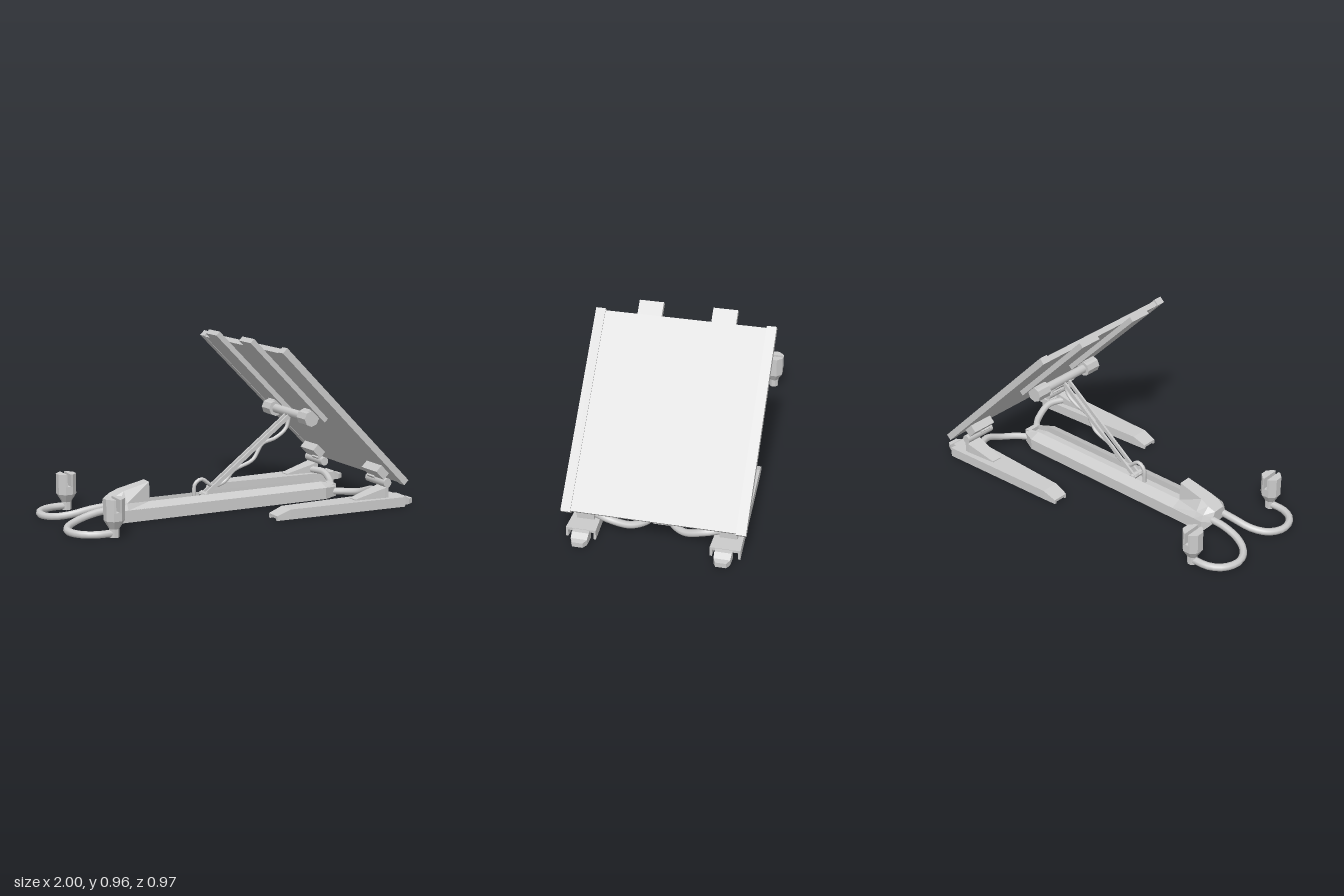
import * as THREE from 'three';

const flat = new THREE.MeshStandardMaterial({ color: 0xcccccc, flatShading: true });
const smooth = new THREE.MeshStandardMaterial({ color: 0xcccccc });

function add(parent, name, geometry, x = 0, y = 0, z = 0, material = flat) {
  const mesh = new THREE.Mesh(geometry, material);
  mesh.name = name;
  mesh.position.set(x, y, z);
  parent.add(mesh);
  return mesh;
}

const box = (x0, x1, y0, y1, z0, z1) =>
  new THREE.BoxGeometry(x1 - x0, y1 - y0, z1 - z0).translate((x0 + x1) / 2, (y0 + y1) / 2, (z0 + z1) / 2);

const rod = (r, length, sides = 12) => new THREE.CylinderGeometry(r, r, length, sides).rotateX(Math.PI / 2);

function tube(points, r, segments = 24) {
  const curve = new THREE.CatmullRomCurve3(points.map(p => new THREE.Vector3(...p)));
  return new THREE.TubeGeometry(curve, segments, r, 8);
}

// Skin over closed (z, y) loops placed at rising x, with both ends capped
function loft(stations) {
  const out = [];
  const put = (s, i) => {
    const [z, y] = s.loop[i];
    out.push(s.x, y, z);
  };
  const n = stations[0].loop.length;
  for (let k = 0; k < stations.length - 1; k++) {
    const p = stations[k], q = stations[k + 1];
    for (let i = 0; i < n; i++) {
      const j = (i + 1) % n;
      put(p, i); put(q, i); put(q, j);
      put(p, i); put(q, j); put(p, j);
    }
  }
  const first = stations[0], last = stations[stations.length - 1];
  for (const s of [first, last]) {
    const contour = s.loop.map(p => new THREE.Vector2(...p));
    for (const face of THREE.ShapeUtils.triangulateShape(contour, [])) {
      (s === first ? face : [...face].reverse()).forEach(i => put(s, i));
    }
  }
  const g = new THREE.BufferGeometry();
  g.setAttribute('position', new THREE.Float32BufferAttribute(out, 3));
  g.computeVertexNormals();
  return g;
}

// Beam section: hollow below, trough along the top
const beamLoop = (b, sh, top, t) => [
  [-b, 0], [-b + 0.015, 0], [-b + 0.015, sh - 0.025], [b - 0.015, sh - 0.025], [b - 0.015, 0], [b, 0],
  [b, sh], [t, top], [t, sh - 0.01], [-t, sh - 0.01], [-t, top], [-b, sh]];

// Nose section: shoulders rising to a narrow ridge
const noseLoop = (b, floor, sh, m, my, t, top) => [
  [-b, floor], [b, floor], [b, sh], [m, my], [t, top], [-t, top], [-m, my], [-b, sh]];

// Foot section: inverted channel
const footLoop = (b, top) => [
  [-b, 0], [-b + 0.012, 0], [-b + 0.012, top - 0.015], [b - 0.012, top - 0.015],
  [b - 0.012, 0], [b, 0], [b, top], [-b, top]];

const blockLoop = (b, y0, y1) => [[-b, y0], [b, y0], [b, y1], [-b, y1]];

function createBase() {
  const base = new THREE.Group();
  base.name = 'base';
  add(base, 'beam', loft([
    { x: -0.64, loop: beamLoop(0.1, 0.065, 0.09, 0.04) },
    { x: 0.62, loop: beamLoop(0.1, 0.065, 0.09, 0.04) },
    { x: 0.71, loop: beamLoop(0.055, 0.055, 0.07, 0.03) },
  ]));
  add(base, 'beamEnd', box(0.69, 0.72, 0, 0.07, -0.045, 0.045));
  add(base, 'nose', loft([
    { x: -0.69, loop: noseLoop(0.06, 0.045, 0.06, 0.05, 0.085, 0.035, 0.115) },
    { x: -0.65, loop: noseLoop(0.1, 0, 0.065, 0.085, 0.1, 0.045, 0.138) },
    { x: -0.6, loop: noseLoop(0.1, 0, 0.066, 0.08, 0.1, 0.04, 0.16) },
    { x: -0.599, loop: noseLoop(0.1, 0.05, 0.066, 0.08, 0.1, 0.04, 0.16) },
    { x: -0.45, loop: noseLoop(0.098, 0.05, 0.066, 0.042, 0.09, 0.035, 0.195) },
  ]));
  return base;
}

// Plug: tapered eight-sided body, its top split by a slot
function createPlug() {
  const plug = new THREE.Group();
  plug.name = 'plug';
  const body = new THREE.LatheGeometry([[0, 0], [0.027, 0], [0.027, 0.045], [0.055, 0.09], [0.055, 0.135], [0, 0.135]]
    .map(p => new THREE.Vector2(...p)), 8, Math.PI / 8);
  add(plug, 'plugBody', body);
  for (const side of [-1, 1]) {
    const half = new THREE.Shape([[0.01, -0.053], [0.022, -0.051], [0.051, -0.021],
      [0.051, 0.021], [0.022, 0.051], [0.01, 0.053]].map(p => new THREE.Vector2(...p)));
    const g = new THREE.ExtrudeGeometry(half, { depth: 0.07, bevelEnabled: false });
    g.rotateX(-Math.PI / 2).rotateY(side < 0 ? Math.PI : 0);
    add(plug, 'plugJaw', g, 0, 0.133, 0);
  }
  return plug;
}

// Foot with its hinge bracket; s is the side along z
function createFoot(s) {
  const foot = new THREE.Group();
  foot.name = 'foot';
  const zc = s * 0.38;
  add(foot, 'footRail', loft([
    { x: 0.12, loop: footLoop(0.045, 0.025) },
    { x: 0.2, loop: footLoop(0.05, 0.055) },
    { x: 0.915, loop: footLoop(0.08, 0.055) },
  ]), 0, 0, zc);
  add(foot, 'heel', loft([
    { x: 0.9, loop: blockLoop(0.045, 0, 0.052) },
    { x: 0.94, loop: blockLoop(0.045, 0, 0.052) },
    { x: 0.97, loop: blockLoop(0.043, 0, 0.032) },
    { x: 1.0, loop: blockLoop(0.028, 0.003, 0.03) },
  ]), 0, 0, s * 0.375);
  add(foot, 'bracket', loft([
    { x: 0.62, loop: blockLoop(0.03, 0.05, 0.06) },
    { x: 0.8, loop: blockLoop(0.047, 0.05, 0.11) },
    { x: 0.825, loop: blockLoop(0.047, 0.05, 0.125) },
  ]), 0, 0, zc);
  add(foot, 'hingePin', rod(0.025, 0.19), 0.815, 0.138, s * 0.335, smooth);
  add(foot, 'arm', tube([[0.78, 0.075, s * 0.36], [0.82, 0.07, s * 0.26], [0.8, 0.035, s * 0.15],
    [0.75, 0.028, s * 0.08], [0.68, 0.028, s * 0.04]], 0.02), 0, 0, 0, smooth);
  return foot;
}

// Tilted panel: local x runs down the slope, local y is the panel normal
function createPanel() {
  const panel = new THREE.Group();
  panel.name = 'panel';
  panel.rotation.z = -Math.PI / 4;
  add(panel, 'panelSheet', box(-0.55, 0.53, 0.722, 0.752, -0.435, 0.435));
  for (const s of [-1, 1]) {
    add(panel, 'sideRail', box(-0.56, 0.537, 0.72, 0.757, -0.026, 0.026), 0, 0, s * 0.459);
    add(panel, 'backRail', box(-0.636, 0.02, 0.693, 0.723, -0.066, 0.066), 0, 0, s * 0.2);
    add(panel, 'strutMount', rod(0.045, 0.09, 8), -0.046, 0.66, s * 0.2);
    add(panel, 'mountBlock', box(-0.085, -0.005, 0.66, 0.7, -0.035, 0.035), 0, 0, s * 0.2);
    add(panel, 'hingeTab', box(0.385, 0.455, 0.675, 0.725, -0.075, 0.075), 0, 0, s * 0.34);
    add(panel, 'hingeLink', box(0.44, 0.5, 0.665, 0.695, -0.035, 0.035), 0, 0, s * 0.3);
  }
  add(panel, 'crossShaft', rod(0.025, 0.4), -0.046, 0.66, 0, smooth);
  return panel;
}

// Prop bars with a slack cable hanging beside them
function createStrut() {
  const strut = new THREE.Group();
  strut.name = 'strut';
  const dx = 0.55, dy = 0.42;
  for (const s of [-1, 1]) {
    const bar = add(strut, 'strutBar', new THREE.BoxGeometry(Math.hypot(dx, dy), 0.022, 0.012),
      -0.115 + dx / 2, 0.075 + dy / 2, s * 0.018);
    bar.rotation.z = Math.atan2(dy, dx);
  }
  add(strut, 'strutFoot', rod(0.018, 0.08, 8), -0.1, 0.08, 0);
  add(strut, 'cable', tube([[-0.165, 0.06, 0], [-0.16, 0.145, 0], [-0.12, 0.17, 0], [-0.05, 0.125, 0],
    [0.02, 0.14, 0], [0.08, 0.2, 0], [0.2, 0.25, 0], [0.26, 0.335, 0], [0.34, 0.36, 0],
    [0.41, 0.41, 0], [0.435, 0.49, 0]], 0.011, 44), 0, 0, 0, smooth);
  return strut;
}

export function createModel() {
  const model = new THREE.Group();
  model.name = 'foldingPanelStand';
  model.add(createBase(), createPanel(), createStrut());
  for (const s of [-1, 1]) {
    model.add(createFoot(s));
    const plug = createPlug();
    plug.position.set(-0.782, 0, s * 0.34);
    model.add(plug);
    // Curled lead from the nose to the plug
    add(model, 'lead', tube([[-0.66, 0.068, s * 0.045], [-0.76, 0.06, s * 0.045], [-0.86, 0.04, s * 0.06],
      [-0.94, 0.025, s * 0.11], [-0.98, 0.021, s * 0.2], [-0.95, 0.021, s * 0.29],
      [-0.88, 0.021, s * 0.335], [-0.78, 0.021, s * 0.34]], 0.02, 20), 0, 0, 0, smooth);
  }
  return model;
}
